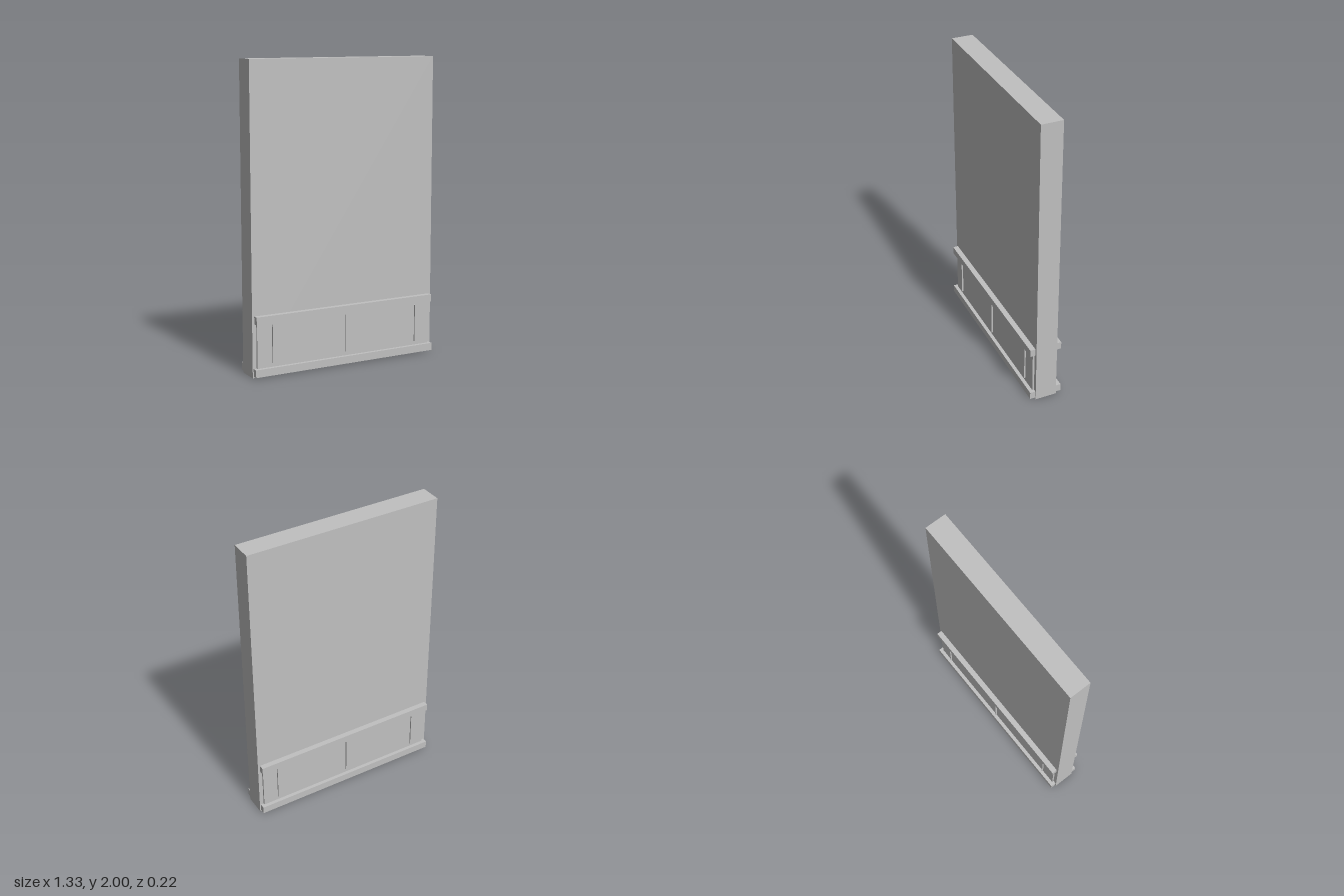
import * as THREE from 'three';

export function createModel() {
  const model = new THREE.Group();
  const grey = new THREE.MeshStandardMaterial({ color: 0xc0c0c0 });
  grey.name = 'plain grey';

  // Box given by its width and its y and z ranges, centred on x
  function box(parent, name, width, y0, y1, z0, z1, x = 0) {
    const mesh = new THREE.Mesh(new THREE.BoxGeometry(width, y1 - y0, z1 - z0), grey);
    mesh.position.set(x, (y0 + y1) / 2, (z0 + z1) / 2);
    mesh.name = name;
    parent.add(mesh);
  }

  // Wall slab
  box(model, 'wall', 1.332, 0, 2, -0.0725, 0.0725);

  // Matching panelling on both faces of the wall
  for (const [name, turn] of [['frontPanelling', 0], ['backPanelling', Math.PI]]) {
    const side = new THREE.Group();
    side.name = name;
    side.rotation.y = turn;
    box(side, 'baseboard', 1.318, 0.01, 0.06, 0.07, 0.109);
    box(side, 'panel', 1.276, 0.06, 0.35, 0.07, 0.085);
    box(side, 'topRail', 1.302, 0.35, 0.4, 0.07, 0.109);
    // Thin upright battens
    for (const x of [-0.532, 0, 0.532]) box(side, 'batten', 0.004, 0.085, 0.337, 0.08, 0.095, x);
    model.add(side);
  }
  return model;
}
